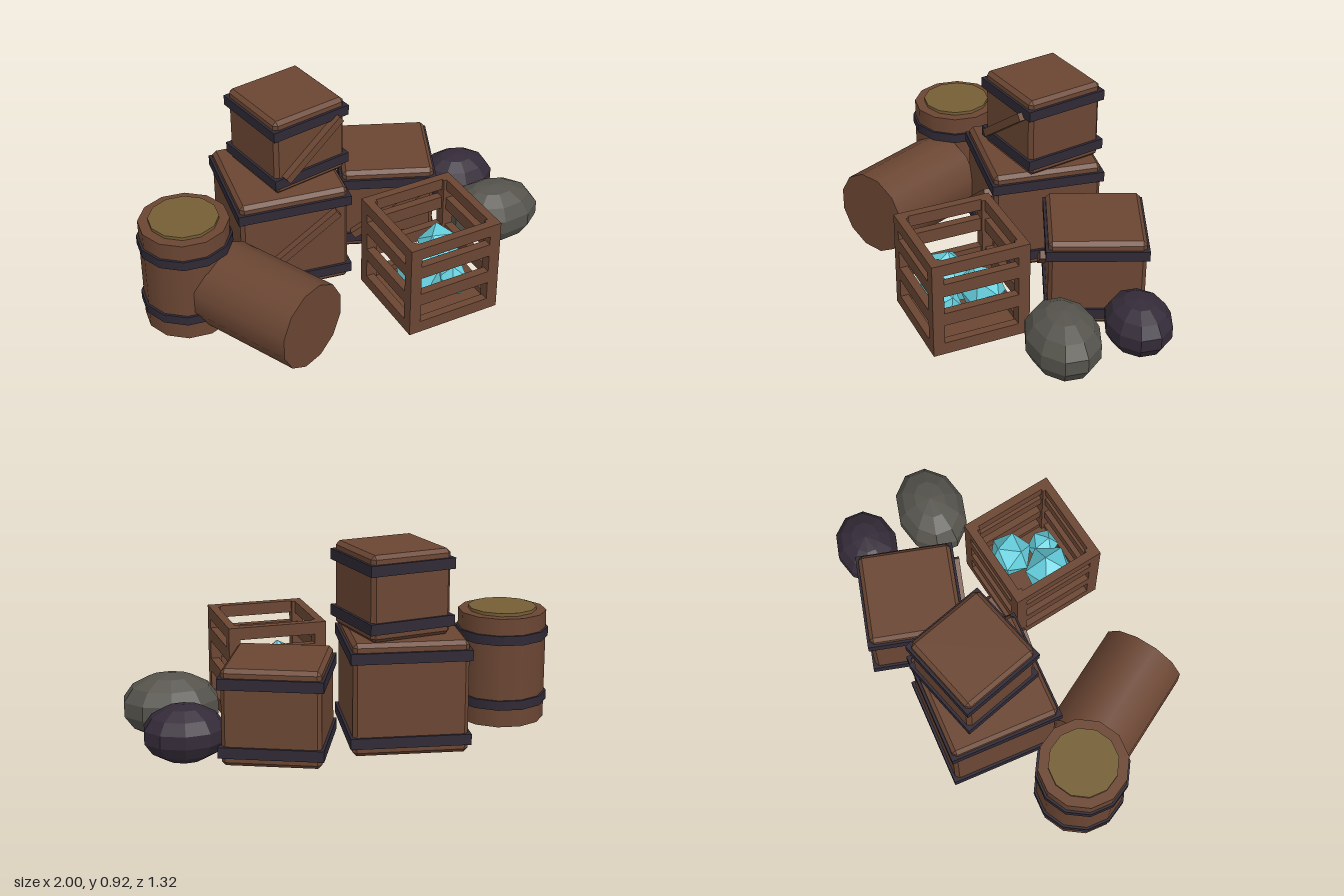
import * as THREE from 'three';
import { ConvexGeometry } from 'three/addons/geometries/ConvexGeometry.js';

const mat = (name, color, flatShading = false) => {
  const m = new THREE.MeshStandardMaterial({ color, flatShading });
  m.name = name;
  return m;
};

// Box with flat chamfers on every edge
function chamferBox(w, h, d, c) {
  const pts = [];
  for (const x of [-1, 1]) for (const y of [-1, 1]) for (const z of [-1, 1])
    for (let k = 0; k < 3; k++)
      pts.push(new THREE.Vector3(
        x * (w / 2 - (k === 0 ? 0 : c)),
        y * (h / 2 - (k === 1 ? 0 : c)),
        z * (d / 2 - (k === 2 ? 0 : c))));
  return new ConvexGeometry(pts);
}

export function createModel() {
  const root = new THREE.Group();
  root.name = 'supplyPile';
  const wood = mat('brown wood', 0x6b4633);
  const iron = mat('dark iron', 0x2f2935);
  const lidMat = mat('olive lid', 0x755e35);
  const stone = mat('grey stone', 0x55534c, true);
  const darkStone = mat('dark stone', 0x342b38, true);
  const crystalMat = mat('cyan crystal', 0x66d0de, true);

  const group = (name, x, y, z, ry = 0) => {
    const g = new THREE.Group();
    g.name = name;
    g.position.set(x, y, z);
    g.rotation.y = ry;
    root.add(g);
    return g;
  };
  const add = (parent, name, geo, material, x = 0, y = 0, z = 0) => {
    const m = new THREE.Mesh(geo, material);
    m.name = name;
    m.position.set(x, y, z);
    parent.add(m);
    return m;
  };

  // Closed crates: chamfered body, two iron bands, diagonal front brace
  function crate(name, s, x, y, z, ry) {
    const g = group(name, x, y, z, ry);
    add(g, 'crateBody', chamferBox(s, s, s, 0.018), wood, 0, s / 2, 0);
    for (const by of [0.065, s - 0.065])
      add(g, 'crateBand', new THREE.BoxGeometry(s + 0.025, 0.05, s + 0.025), iron, 0, by, 0);
    const brace = add(g, 'crateBrace', new THREE.BoxGeometry(s * 0.97, 0.038, 0.045), wood, 0, s / 2, s / 2 + 0.014);
    brace.rotation.z = 0.64;
  }
  crate('largeCrate', 0.52, -0.265, 0.01, -0.25, 0);
  crate('topCrate', 0.39, -0.213, 0.533, -0.275, 0.31);
  crate('rearCrate', 0.442, 0.313, 0.01, -0.382, -0.248);

  // Barrels: twelve sided, flats facing the axes
  const drum = (r, h) => new THREE.CylinderGeometry(r, r, h, 12).rotateY(Math.PI / 12);
  const barrel = group('standingBarrel', -0.79, 0, 0.01);
  add(barrel, 'barrelBody', drum(0.208, 0.525), wood, 0, 0.2725, 0);
  for (const y of [0.118, 0.432]) add(barrel, 'barrelBand', drum(0.219, 0.045), iron, 0, y, 0);
  add(barrel, 'barrelLid', drum(0.161, 0.03), lidMat, 0, 0.535, 0);

  const lying = group('lyingBarrel', -0.498, 0.21, 0.322, 0.588);
  add(lying, 'lyingBarrelBody', drum(0.206, 0.525).rotateX(Math.PI / 2), wood);

  // Open slatted crate
  const S = 0.468, post = 0.055, open = group('openCrate', 0.313, 0, 0.248, 0.16);
  add(open, 'openCrateFloor', new THREE.BoxGeometry(S - 0.02, 0.03, S - 0.02), wood, 0, 0.026, 0);
  const rails = [[0.01, 0.07], [0.165, 0.23], [0.32, 0.385], [0.43, 0.488]];
  for (let i = 0; i < 4; i++) {
    const side = new THREE.Group();
    side.name = 'openCrateSide';
    side.rotation.y = i * Math.PI / 2;
    open.add(side);
    const p = S / 2 - post / 2;
    add(side, 'openCratePost', new THREE.BoxGeometry(post, 0.478, post), wood, p, 0.249, p);
    for (const [a, b] of rails)
      add(side, 'openCrateSlat', new THREE.BoxGeometry(S - 2 * post, b - a, 0.04), wood, 0, (a + b) / 2, S / 2 - 0.02);
  }

  // Crystals: stretched, turned icosahedra
  [[0.243, 0.19, 0.31, 0.125, 0.4], [0.393, 0.2, 0.17, 0.108, 1.3], [0.392, 0.15, 0.345, 0.078, 2.2]]
    .forEach(([x, y, z, r, turn]) => {
      const c = add(root, 'crystal', new THREE.IcosahedronGeometry(r, 0).rotateZ(turn).rotateY(turn * 2), crystalMat, x, y, z);
      c.scale.y = 1.2;
    });

  // Boulders: low-poly ellipsoids with a flat facet at each end
  const boulder = (name, m, x, y, z, rx, ry, rz) =>
    add(root, name, new THREE.SphereGeometry(1, 10, 7).rotateY(Math.PI / 10).scale(rx, ry, rz), m, x, y, z);
  boulder('greyBoulder', stone, 0.783, 0.157, -0.092, 0.231, 0.153, 0.172);
  boulder('darkBoulder', darkStone, 0.735, 0.143, -0.457, 0.19, 0.132, 0.155);

  return root;
}
